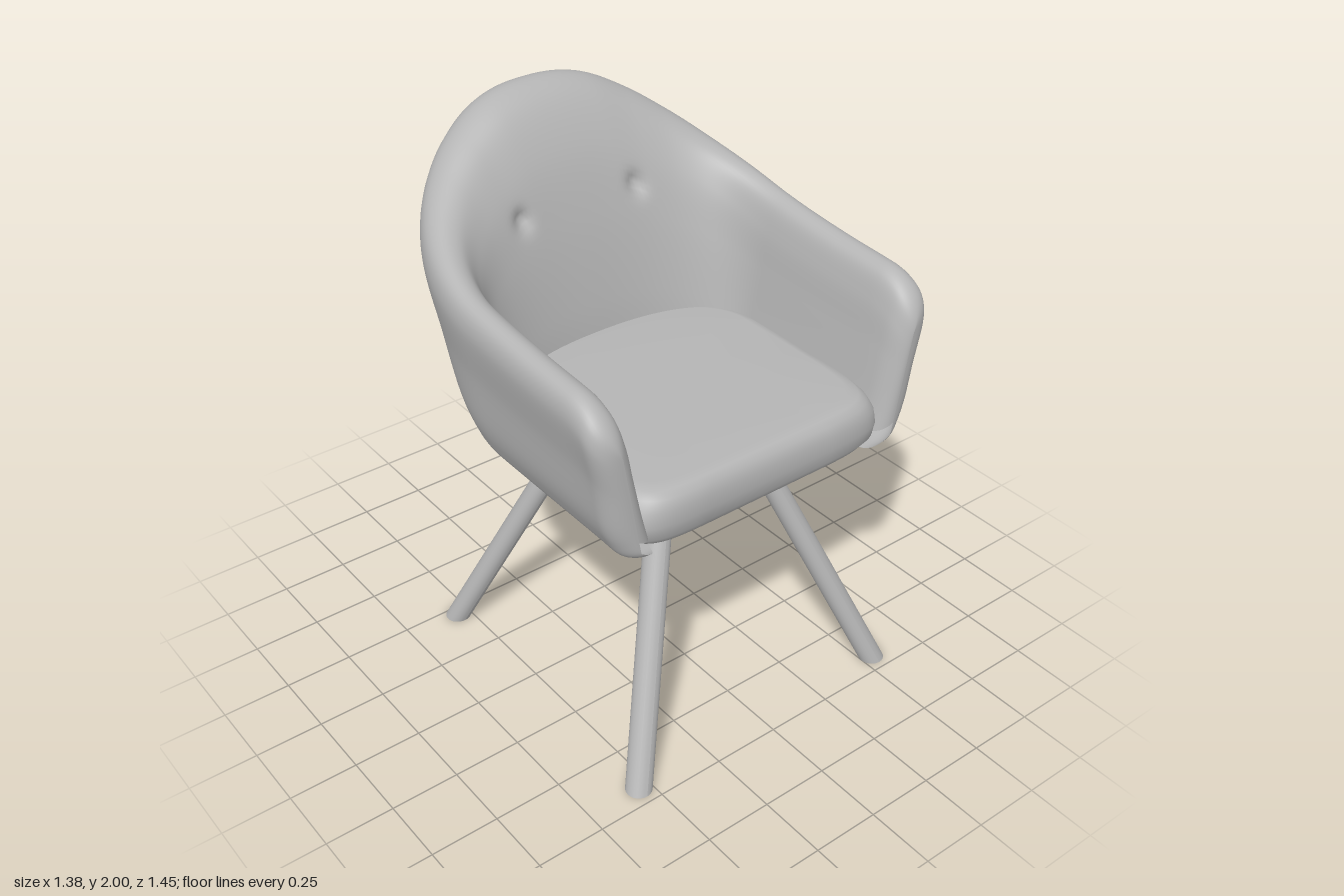
import * as THREE from 'three';
import { mergeVertices } from 'three/addons/utils/BufferGeometryUtils.js';

const FRONT = 0.68;
const BASE = 0.95;
const ROUND = 2 / 2.3; // exponent of the rounded back in plan

const spow = (v, p) => Math.sign(v) * Math.pow(Math.abs(v), p);
const bulge = (d) => 1 - Math.sqrt(1 - Math.min(1, Math.max(0, d)) ** 2);

// Smooth surface through a grid of points given by rule(i, j)
function gridSurface(ni, nj, rule) {
  const positions = [];
  const index = [];
  for (let i = 0; i <= ni; i++) {
    for (let j = 0; j <= nj; j++) {
      positions.push(...rule(i, j));
      if (i === ni || j === nj) continue;
      const a = i * (nj + 1) + j;
      const b = a + nj + 1;
      index.push(a, b, a + 1, b, b + 1, a + 1);
    }
  }
  const geometry = new THREE.BufferGeometry();
  geometry.setAttribute('position', new THREE.Float32BufferAttribute(positions, 3));
  geometry.setIndex(index);
  const merged = mergeVertices(geometry, 1e-4);
  merged.computeVertexNormals();
  return merged;
}

// Rim height from the middle of the back (s = 0) to the arm front (s = 1)
const rimNodes = [2.0, 1.975, 1.9, 1.81, 1.725, 1.655, 1.6, 1.57, 1.555, 1.545, 1.54];
function rimHeight(s) {
  const k = Math.min(9, Math.floor(s * 10));
  const t = s * 10 - k;
  const n = (m) => rimNodes[m > 10 ? 10 : Math.abs(m)];
  const [a, b, c, d] = [n(k - 1), n(k), n(k + 1), n(k + 2)];
  return b + 0.5 * t * (c - a + t * (2 * a - 5 * b + 4 * c - d + t * (3 * (b - c) + d - a)));
}

// Padded wrap: one cross-section swept round the back and along both arms
function shellGeometry() {
  // height fraction, half width at the arms, depth at the back
  const section = [
    [0, 0.45, -0.36], [0.015, 0.52, -0.43], [0.06, 0.575, -0.475], [0.16, 0.61, -0.51],
    [0.28, 0.635, -0.555], [0.57, 0.66, -0.665], [0.88, 0.69, -0.727], [0.97, 0.673, -0.7],
    [1, 0.635, -0.63], [0.965, 0.59, -0.54], [0.82, 0.555, -0.43], [0.6, 0.53, -0.345],
    [0.3, 0.495, -0.275], [0.12, 0.47, -0.25],
  ].map((p) => new THREE.Vector3(...p));
  const nj = 96;
  const profile = new THREE.CatmullRomCurve3(section, false, 'centripetal').getSpacedPoints(nj);
  const half = 100;

  return gridSurface(half * 2, nj, (i, j) => {
    const side = i < half ? 1 : -1;
    const s = Math.abs(i - half) / half;
    const { x: f, y: w, z: zb } = profile[j];
    let x = w;
    let z = 0;
    if (s < 0.6) {
      const a = (s / 0.6) * Math.PI / 2;
      x = w * spow(Math.sin(a), ROUND);
      z = zb * spow(Math.cos(a), ROUND);
    } else {
      z = FRONT * Math.sin(((s - 0.6) / 0.4) * Math.PI / 2);
    }
    // rounded top and bottom corners at the arm front
    const top = rimHeight(s) - 0.16 * bulge((z - 0.5) / 0.18);
    const low = BASE + 0.05 * bulge((z - 0.62) / 0.06);
    const y = low + Math.min(f, 1) * (top - low);
    // the arm closes to a rounded nose
    x += (0.55 + 0.175 * (y - 1.1) - x) * bulge((z - 0.6) / 0.08);
    // two tufting dimples on the inside of the back
    if (j > nj / 2 && z < 0) {
      const d2 = (x - 0.24) ** 2 + (y - 1.63) ** 2;
      z -= 0.03 * Math.exp(-d2 / 0.0011);
    }
    return [side * x, y, z];
  });
}

// Seat cushion: stacked plan outlines, round at the back and square in front
function seatGeometry() {
  // height, half width, back, front
  const rows = [
    [0.945, 0, 0, 0], [0.945, 0.42, -0.35, 0.57], [0.954, 0.49, -0.4, 0.63],
    [0.972, 0.53, -0.43, 0.655], [1.0, 0.555, -0.45, 0.672], [1.05, 0.56, -0.45, 0.68],
    [1.1, 0.545, -0.41, 0.676], [1.135, 0.52, -0.35, 0.663], [1.152, 0.5, -0.31, 0.64],
    [1.159, 0.47, -0.28, 0.6], [1.163, 0.3, -0.18, 0.4], [1.165, 0, 0, 0],
  ];
  return gridSurface(128, rows.length - 1, (i, j) => {
    const a = (i / 128) * Math.PI * 2;
    const [y, w, back, front] = rows[j];
    const c = Math.cos(a);
    const p = c > 0 ? ROUND : 0.25;
    return [-w * spow(Math.sin(a), p), y, (c > 0 ? back : front) * Math.abs(c) ** p];
  });
}

// Splayed leg with level ends
function legGeometry(top, foot) {
  const geometry = new THREE.CylinderGeometry(0.047, 0.047, top.y - foot.y, 24);
  geometry.translate(0, (top.y + foot.y) / 2, 0);
  const p = geometry.attributes.position;
  for (let i = 0; i < p.count; i++) {
    const t = (p.getY(i) - foot.y) / (top.y - foot.y);
    p.setX(i, p.getX(i) + foot.x + (top.x - foot.x) * t);
    p.setZ(i, p.getZ(i) + foot.z + (top.z - foot.z) * t);
  }
  geometry.computeVertexNormals();
  return geometry;
}

export function createModel() {
  const grey = new THREE.MeshStandardMaterial({ color: 0xb4b4b4, side: THREE.DoubleSide });
  grey.name = 'plain grey';
  const group = new THREE.Group();
  group.name = 'armchair';
  const add = (name, geometry) => {
    const mesh = new THREE.Mesh(geometry, grey);
    mesh.name = name;
    group.add(mesh);
  };

  add('backAndArms', shellGeometry());
  add('seat', seatGeometry());

  for (const side of [1, -1]) {
    const name = side > 0 ? 'Left' : 'Right';
    const leg = (zTop, zFoot) => legGeometry(
      new THREE.Vector3(side * 0.18, 0.96, zTop),
      new THREE.Vector3(side * 0.545, 0, zFoot),
    );
    add('front' + name + 'Leg', leg(0.335, 0.68));
    add('back' + name + 'Leg', leg(-0.1, -0.46));
  }
  return group;
}
